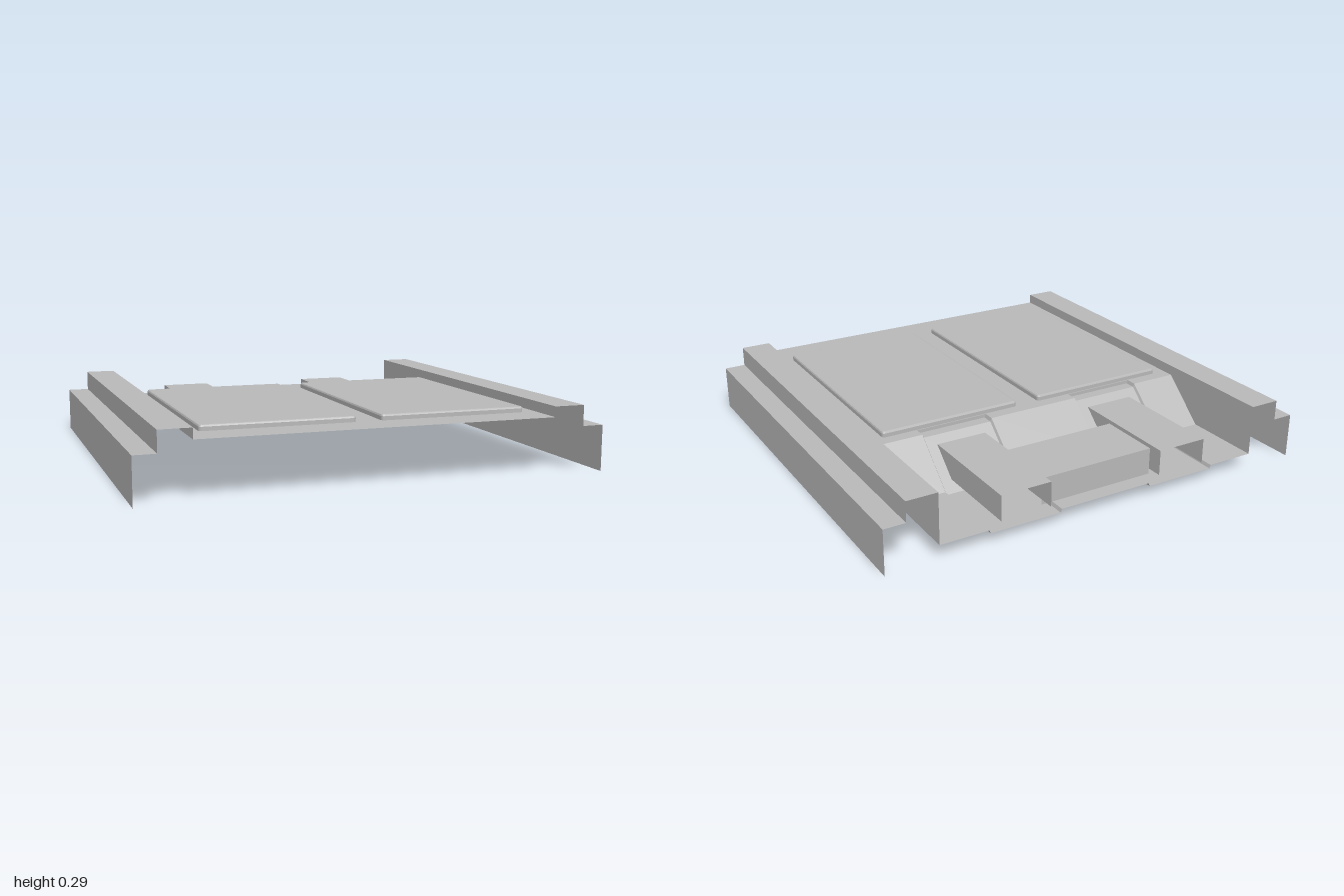
import * as THREE from 'three';

const steel = new THREE.MeshStandardMaterial({ color: 0xb8b8b8, side: THREE.DoubleSide });
steel.name = 'bare steel grey';

const V = (x, y, z) => new THREE.Vector3(x, y, z);
const FRONT = 0.91, REAR = -0.91, STEP = -0.3;

// Floor height along z: high deck, kick-down slope, low rear deck
const deck = [[FRONT, 0.245], [-0.35, 0.245], [-0.55, 0.065], [REAR, 0.065]];

// Thin flat-shaded sheet spanned between rows of points
function sheet(rows) {
  const n = rows[0].length, index = [];
  for (let r = 0; r < rows.length - 1; r++)
    for (let c = 0; c < n - 1; c++) {
      const a = r * n + c, b = a + n;
      index.push(a, a + 1, b, a + 1, b + 1, b);
    }
  let g = new THREE.BufferGeometry().setFromPoints(rows.flat());
  g.setIndex(index);
  g = g.toNonIndexed();
  g.computeVertexNormals();
  return g;
}

function add(parent, name, geometry) {
  const m = new THREE.Mesh(geometry, steel);
  m.name = name;
  parent.add(m);
  return m;
}

// Rectangle on the floor plane with rounded corners (shape y is -z)
function roundRect(x0, x1, z0, z1, r) {
  const a = -z1, b = -z0, s = new THREE.Shape();
  s.moveTo(x0 + r, a);
  s.lineTo(x1 - r, a);
  s.absarc(x1 - r, a + r, r, -Math.PI / 2, 0);
  s.absarc(x1 - r, b - r, r, 0, Math.PI / 2);
  s.absarc(x0 + r, b - r, r, Math.PI / 2, Math.PI);
  s.absarc(x0 + r, a + r, r, Math.PI, Math.PI * 1.5);
  return s;
}

function flat(shape, y) {
  return new THREE.ShapeGeometry(shape, 4).rotateX(-Math.PI / 2).translate(0, y, 0);
}

// Footprint of the raised panel on one side, pulled in by an inset
function panelShape(side, inset) {
  const xs = [0.055 * side, 0.71 * side].sort((p, q) => p - q);
  return roundRect(xs[0] + inset, xs[1] - inset, -0.295 + inset, 0.75 - inset, 0.014 - inset);
}

export function createModel() {
  const model = new THREE.Group();
  model.name = 'floorPan';

  // Front deck, open beneath the raised panels
  const front = new THREE.Shape();
  front.moveTo(-0.77, -FRONT);
  front.lineTo(0.77, -FRONT);
  front.lineTo(0.77, -STEP);
  front.lineTo(-0.77, -STEP);
  front.closePath();
  for (const s of [-1, 1]) front.holes.push(new THREE.Path(panelShape(s, 0).getPoints(4)));
  add(model, 'frontDeck', flat(front, 0.245));

  // Rear deck with two shallow channels: [x, sunk]
  const half = [[0.217, 0], [0.223, 1], [0.547, 1], [0.553, 0], [0.77, 0]];
  const section = [...half.map(([x, d]) => [-x, d]).reverse(), ...half];
  const stations = [[STEP, 0.245, 0], ...[[STEP, 0.245], ...deck.slice(1)].map(([z, y]) => [z, y, 0.015])];
  add(model, 'rearDeck', sheet(stations.map(([z, y, depth]) =>
    section.map(([x, d]) => V(x, y - d * depth, z)))));

  for (const s of [-1, 1]) {
    const side = s > 0 ? 'left' : 'right';

    // Raised panel: skirt, bevel and top
    const panel = new THREE.Group();
    panel.name = side + 'RaisedPanel';
    const rings = [[0, 0.23], [0, 0.262], [0.003, 0.268], [0.008, 0.27]].map(([inset, y]) => {
      const pts = panelShape(s, inset).getPoints(4).map(p => V(p.x, y, -p.y));
      if (pts[0].distanceTo(pts[pts.length - 1]) > 1e-6) pts.push(pts[0].clone());
      return pts;
    });
    add(panel, 'panelEdge', sheet(rings));
    add(panel, 'panelTop', flat(panelShape(s, 0.008), 0.27));
    model.add(panel);

    // Side sill: inner wall follows the deck, then top, step and outer skirt
    add(model, side + 'Sill', sheet(deck.map(([z, y]) => {
      const row = [[0.77, y], [0.77, 0.29], [0.905, 0.29], [0.905, 0.2], [1, 0.2], [1, 0]]
        .map(([x, h]) => V(s * x, h, z));
      return s > 0 ? row : row.reverse();
    })));

    // Rear rail: open channel running from the slope to the back edge
    const xs = [0.27 * s, 0.5 * s].sort((p, q) => p - q);
    add(model, side + 'RearRail', sheet([[-0.385, 0.197], [-0.505, 0.09], [REAR, 0.09]].map(([z, low]) => [
      V(xs[0], low, z), V(xs[0], 0.202, z), V(xs[1], 0.202, z), V(xs[1], low, z),
    ])));
  }

  // Crossmember joining the rear rails
  add(model, 'crossmember', sheet([-0.27, 0.27].map(x => [
    V(x, 0.066, -0.55), V(x, 0.185, -0.55), V(x, 0.185, -0.84), V(x, 0.066, -0.84),
  ]).reverse()));

  return model;
}
